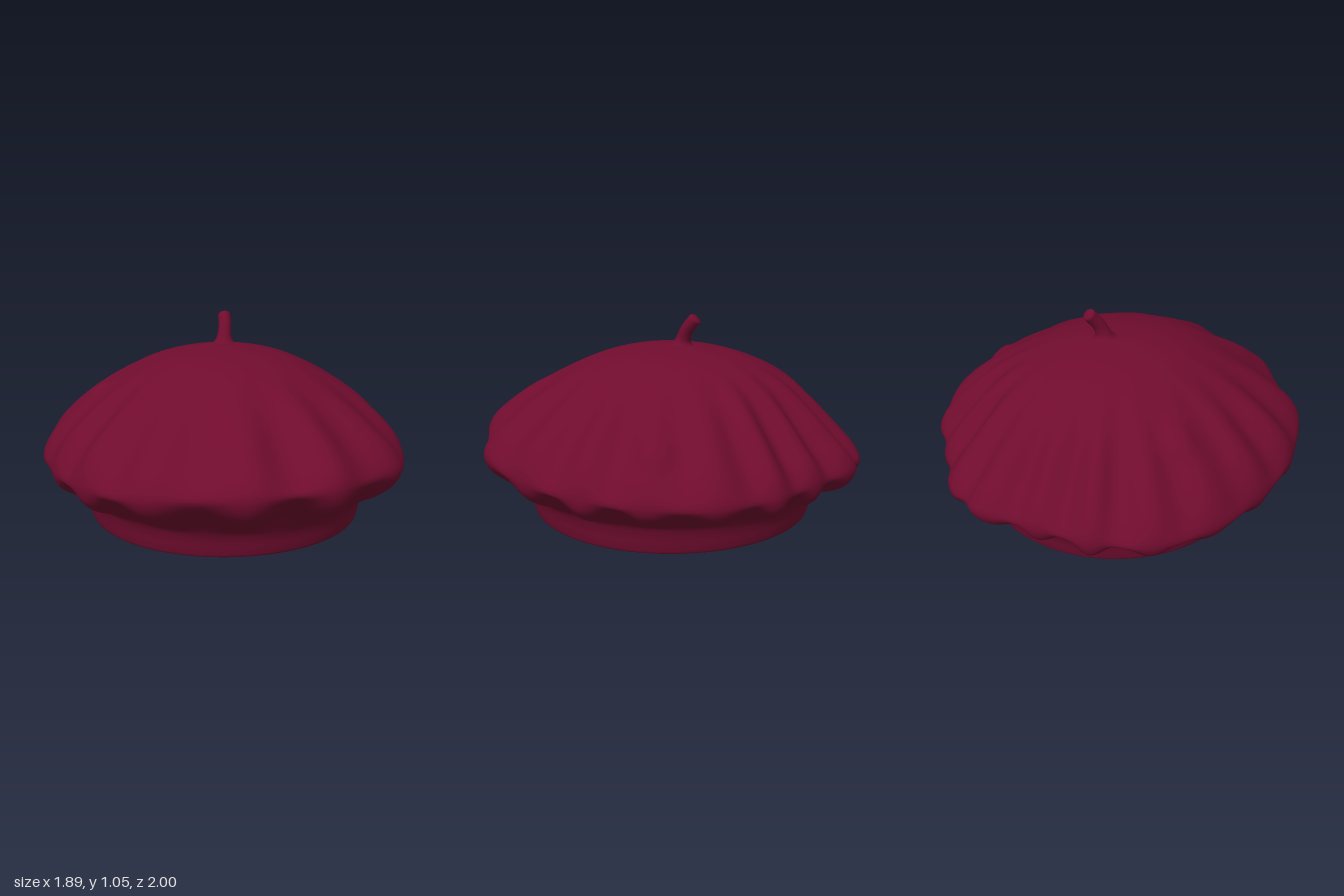
import * as THREE from 'three';

const V = (x, y, z) => new THREE.Vector3(x, y, z);

// Rim outline, left half from front to back (x, z)
const RIM = [[0, 0.985], [0.2, 0.992], [0.35, 0.92], [0.5, 0.84], [0.62, 0.775], [0.72, 0.66], [0.8, 0.525],
  [0.87, 0.365], [0.915, 0.2], [0.93, 0.05], [0.945, -0.14], [0.92, -0.3], [0.875, -0.46], [0.8, -0.58],
  [0.7, -0.66], [0.63, -0.74], [0.5, -0.795], [0.37, -0.865], [0.27, -0.905], [0.19, -0.96], [0.08, -1], [0, -0.985]];

// Crown rows: share of rim radius, height at side / front / back, fold strength
const CROWN = [
  [0.002, 0.89, 0.89, 0.89, 0], [0.08, 0.887, 0.885, 0.89, 0], [0.2, 0.872, 0.872, 0.872, 0],
  [0.35, 0.838, 0.838, 0.84, 0], [0.5, 0.775, 0.78, 0.79, 0.08], [0.64, 0.69, 0.7, 0.71, 0.4],
  [0.76, 0.6, 0.62, 0.6, 0.85], [0.88, 0.495, 0.525, 0.475, 1], [0.96, 0.4, 0.457, 0.39, 0.8], [1, 0.315, 0.395, 0.32, 0.3]];

// Underside rows: share of the way from rim to band, heights, fold strength
const UNDER = [[0.12, 0.268, 0.33, 0.27, 0.6], [0.45, 0.22, 0.258, 0.23, 0.8], [0.8, 0.178, 0.2, 0.205, 0.3]];

// Band rows: scale of the band ellipse, height
const BAND = [[1.025, 0.15], [1, 0.1], [0.985, 0.04], [0.97, 0.006], [0.945, 0.006], [0.935, 0.04], [0.96, 0.14]];

// Pleats: wide at the front, tighter towards the back
function fold(angle) {
  const a = Math.abs(angle) / Math.PI;
  const p = 9 * a - 0.68 * Math.sin(Math.PI * a);
  const uneven = 0.8 + 0.3 * Math.sin(5 * angle + 1);
  return -Math.cos(2 * Math.PI * p) * uneven;
}

// Control points of one meridian, from the top down and back up inside
function meridian(rim) {
  const angle = Math.atan2(rim.x, rim.z);
  const s = Math.sin(angle), c = Math.cos(angle);
  const height = (r) => r[1] * s * s + (c > 0 ? r[2] : r[3]) * c * c;
  const wave = fold(angle) * 0.024;
  const band = (k) => V(s * 0.735 * k, 0, c * 0.76 * k);
  // The wavy outline fades into a plain oval towards the middle
  const oval = V(s, 0, c).divideScalar(Math.hypot(s / 0.94, c / 0.985));
  const outline = (f) => oval.clone().lerp(rim, THREE.MathUtils.smoothstep(f, 0.4, 0.95)).multiplyScalar(f);
  const crown = CROWN.map((r) => {
    const d = wave * r[4];
    const p = outline(r[0]);
    return V(p.x + s * d * 0.5, height(r) + d * 0.85, p.z + c * d * 0.5);
  });
  const under = UNDER.map((r) => {
    const d = wave * r[4];
    const p = rim.clone().lerp(band(1.025), r[0]);
    return V(p.x + s * d, height(r) - d * 0.9, p.z + c * d);
  });
  const sweatband = BAND.map(([k, y]) => {
    const p = band(k);
    p.y = y + 0.012 * c * c * (1 - y / 0.15);
    return p;
  });
  // Lining: the same cloth, one thickness further in
  const inset = (p, scale, dy) => V(p.x * scale, p.y + dy, p.z * scale);
  const lining = [
    ...under.slice(1).reverse().map((p) => inset(p, 0.97, 0.025)),
    inset(under[0], 0.955, 0.015),
    ...crown.slice(0, -1).reverse().map((p) => inset(p, 0.965, -0.025)),
  ];
  return new THREE.CatmullRomCurve3([...crown, ...under, ...sweatband, ...lining], false, 'centripetal');
}

// Small lumps in the felt: centre, radius, lift
const LUMPS = [[V(0.79, 0.52, -0.22), 0.08, 0.02], [V(-0.65, 0.65, -0.2), 0.08, 0.016]];

function capGeometry() {
  const half = RIM.map(([x, z]) => V(x, 0, z));
  const other = RIM.slice(1, -1).reverse().map(([x, z]) => V(-x, 0, z));
  const rim = new THREE.CatmullRomCurve3([...half, ...other], true, 'centripetal');
  const cols = 240, rows = 124;
  const pos = [], index = [];
  rim.getSpacedPoints(cols).slice(0, cols).forEach((rimPoint, j) => {
    const curve = meridian(rimPoint);
    const out = rimPoint.clone().normalize();
    for (let i = 0; i <= rows; i++) {
      const p = curve.getPoint(i / rows);
      for (const [centre, radius, lift] of LUMPS) {
        const g = lift * Math.exp(-((p.distanceTo(centre) / radius) ** 4));
        p.addScaledVector(out, g * 0.6).y += g * 0.8;
      }
      pos.push(p.x, p.y, p.z);
      if (i < rows) {
        const a = j * (rows + 1) + i, d = ((j + 1) % cols) * (rows + 1) + i;
        index.push(a, a + 1, d + 1, a, d + 1, d);
      }
    }
  });
  const geo = new THREE.BufferGeometry();
  geo.setAttribute('position', new THREE.Float32BufferAttribute(pos, 3));
  geo.setIndex(index);
  geo.computeVertexNormals();
  return geo;
}

// Bent stalk with a flared foot and a rounded tip
function stemGeometry() {
  const path = new THREE.CatmullRomCurve3([
    V(0.025, 0.872, -0.072), V(0.028, 0.91, -0.078), V(0.038, 0.96, -0.098), V(0.048, 1.0, -0.128), V(0.053, 1.034, -0.158)]);
  const rings = 32, sides = 24;
  const geo = new THREE.TubeGeometry(path, rings, 1, sides);
  const pos = geo.attributes.position;
  const p = V(0, 0, 0);
  for (let i = 0; i <= rings; i++) {
    const t = i / rings;
    const tip = Math.sqrt(Math.max(0, 1 - Math.max(0, (t - 0.88) / 0.12) ** 4));
    const r = (0.034 + 0.05 * Math.exp(-t * 9)) * tip;
    const centre = path.getPointAt(t);
    for (let j = 0; j <= sides; j++) {
      const k = i * (sides + 1) + j;
      p.fromBufferAttribute(pos, k).sub(centre).multiplyScalar(r).add(centre);
      pos.setXYZ(k, p.x, p.y, p.z);
    }
  }
  geo.computeVertexNormals();
  return geo;
}

export function createModel() {
  const felt = new THREE.MeshStandardMaterial({ color: 0x700c2e });
  felt.name = 'burgundy felt';
  const group = new THREE.Group();
  group.name = 'beret';
  const add = (name, geo) => {
    const mesh = new THREE.Mesh(geo, felt);
    mesh.name = name;
    group.add(mesh);
  };
  add('cap', capGeometry());
  add('stem', stemGeometry());
  return group;
}
